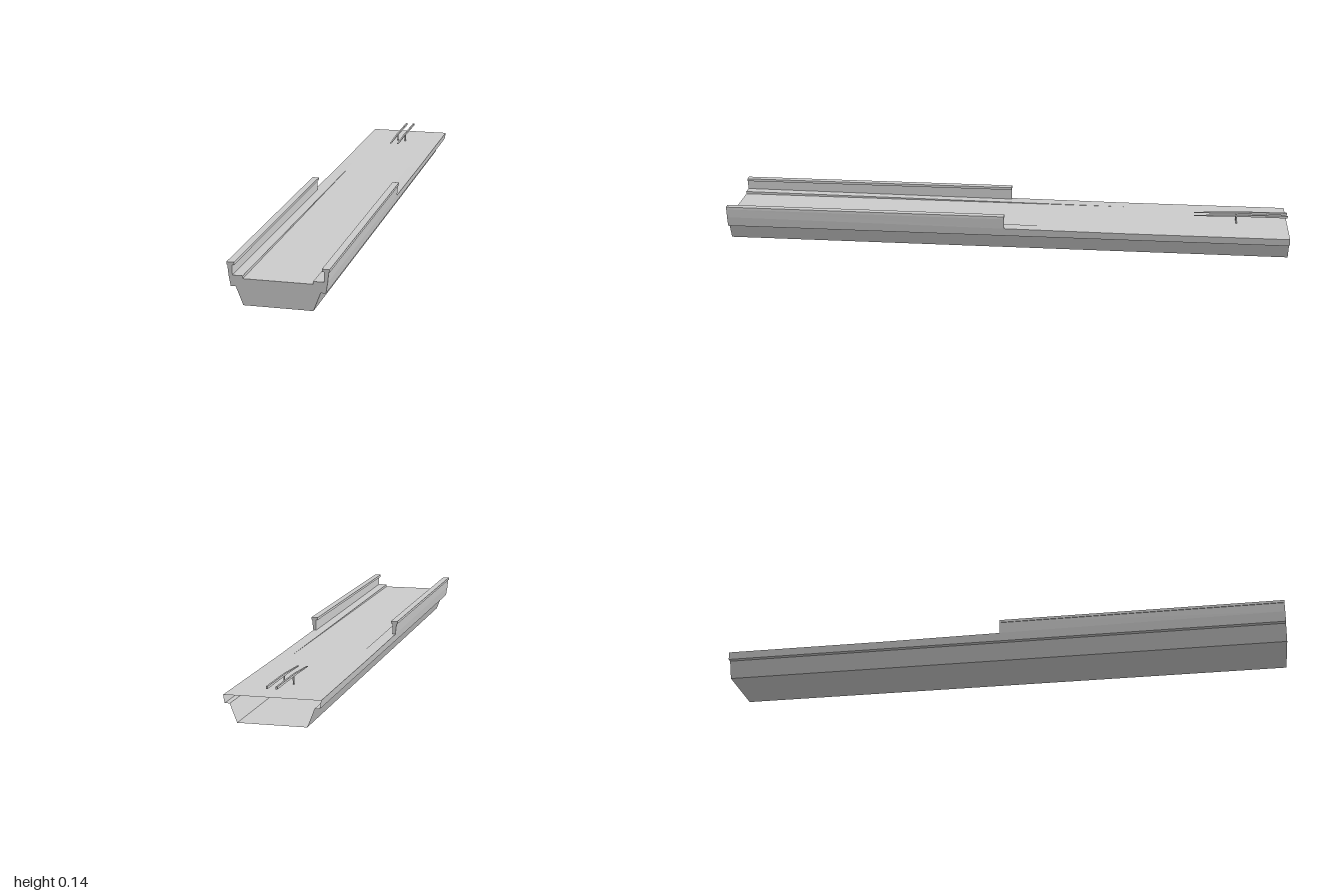
import * as THREE from 'three';

const DECK = 0.085;
const material = new THREE.MeshStandardMaterial({ color: 0xcccccc, flatShading: true, side: THREE.DoubleSide });

// Kerb height: tallest at the front, fading into the deck towards the back
const kerbY = z => DECK + 0.009 * Math.max(0, (z + 0.42) / 1.42);
// Half width of the sloping fascia at a height
const fasciaX = y => 0.149 + (y - 0.059) * 0.17;

const mirror = pts => pts.map(([x, y]) => [-x, y]).reverse();

// Half of the hollow girder and deck section, counter-clockwise
function deckProfile(z) {
  const k = kerbY(z);
  const half = [[0.11, 0], [0.133, 0.059], [0.149, 0.059], [fasciaX(k), k], [0.11, k], [0.11, DECK]];
  return [...half, ...mirror(half)];
}

// Parapet with a wider coping on top
function parapetProfile(z) {
  const k = kerbY(z);
  return [[0.143, k], [fasciaX(k), k], [0.158, 0.126], [0.161, 0.126],
    [0.161, 0.135], [0.137, 0.135], [0.137, 0.126], [0.143, 0.126]];
}

// Skin a closed profile along z, listed from front to back
function loft(profile, zs) {
  const pos = [];
  for (let s = 0; s < zs.length - 1; s++) {
    const near = profile(zs[s]).map(([x, y]) => [x, y, zs[s]]);
    const far = profile(zs[s + 1]).map(([x, y]) => [x, y, zs[s + 1]]);
    near.forEach((a, i) => {
      const j = (i + 1) % near.length;
      pos.push(...a, ...far[i], ...near[j], ...near[j], ...far[i], ...far[j]);
    });
  }
  const geo = new THREE.BufferGeometry();
  geo.setAttribute('position', new THREE.Float32BufferAttribute(pos, 3));
  geo.computeVertexNormals();
  return geo;
}

function endCap(profile, z) {
  const shape = new THREE.Shape(profile(z).map(p => new THREE.Vector2(...p)));
  return new THREE.ShapeGeometry(shape).translate(0, 0, z);
}

export function createModel() {
  const group = new THREE.Group();
  const add = (name, geo) => {
    const mesh = new THREE.Mesh(geo, material);
    mesh.name = name;
    group.add(mesh);
    return mesh;
  };

  // Girder: closed at the front, open at the back
  add('bridgeDeck', loft(deckProfile, [1, 0, -0.42, -1]));
  add('deckFrontCap', endCap(deckProfile, 1));

  for (const side of [1, -1]) {
    const label = side > 0 ? 'left' : 'right';

    // Parapets along the front half
    const profile = side > 0 ? parapetProfile : z => mirror(parapetProfile(z));
    add(label + 'Parapet', loft(profile, [1, 0]));
    add(label + 'ParapetFrontCap', endCap(profile, 1));
    const back = endCap(profile, 0);
    back.rotateY(Math.PI);
    back.scale(-1, 1, 1);
    // restore outward winding after the flip
    const idx = back.index.array;
    for (let i = 0; i < idx.length; i += 3) [idx[i], idx[i + 1]] = [idx[i + 1], idx[i]];
    back.computeVertexNormals();
    back.index.needsUpdate = true;
    const backCap = add(label + 'ParapetBackCap', back);
    backCap.material = material;

    // Central guard rail with a tapered nose, running off the back end
    const rail = new THREE.Shape([[0.67, 0.108], [0.82, 0.111], [1, 0.111], [1, 0.119], [0.82, 0.118], [0.67, 0.11]]
      .map(p => new THREE.Vector2(...p)));
    const railGeo = new THREE.ExtrudeGeometry(rail, { depth: 0.006, bevelEnabled: false });
    railGeo.translate(0, 0, -0.003).rotateY(Math.PI / 2).translate(side * 0.015, 0, 0);
    add(label + 'GuardRail', railGeo);

    // Rail post
    add(label + 'RailPost', new THREE.BoxGeometry(0.004, 0.03, 0.005).translate(side * 0.015, 0.099, -0.82));
  }
  return group;
}
